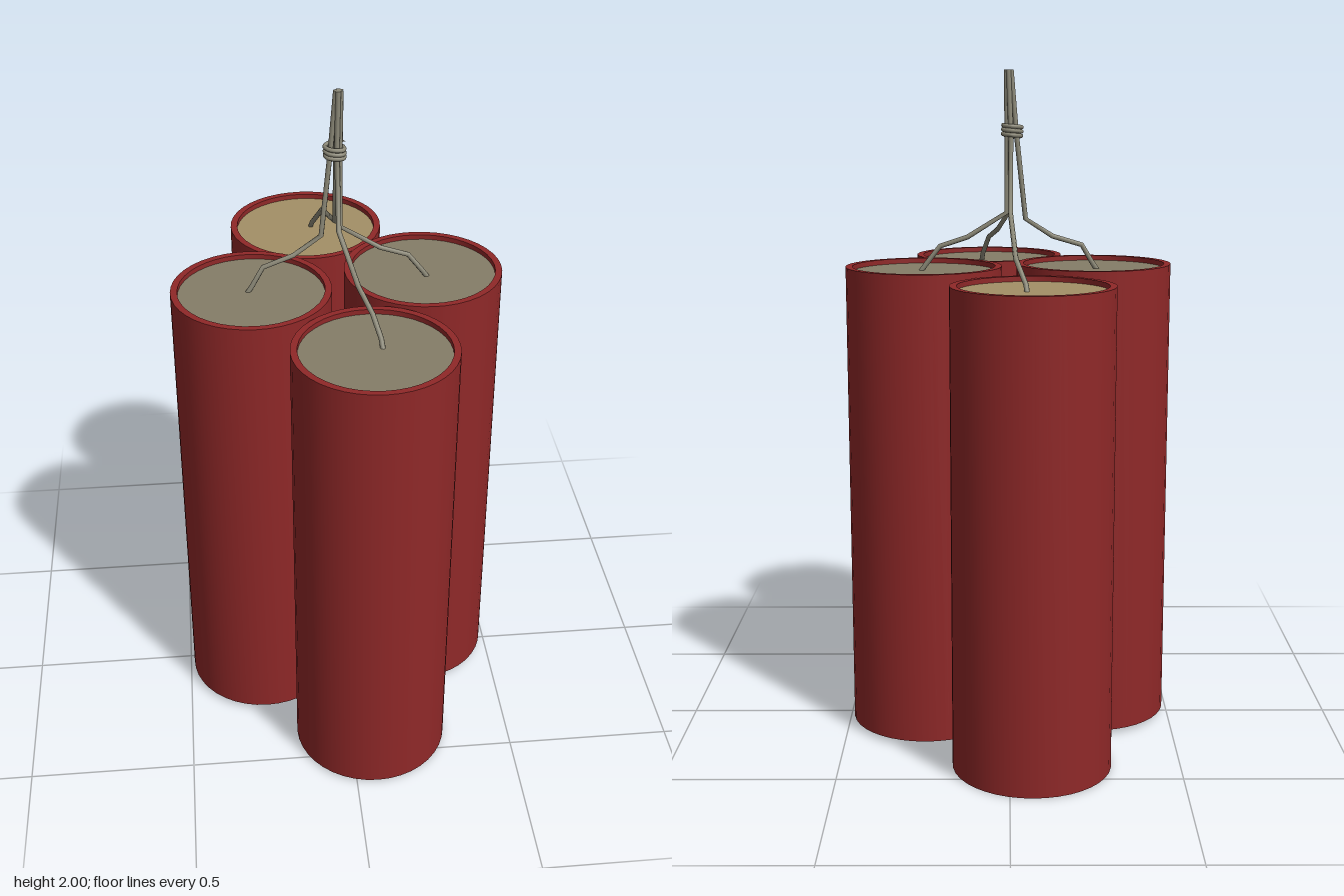
import * as THREE from 'three';
import { toCreasedNormals } from 'three/addons/utils/BufferGeometryUtils.js';

const mat = (color) => new THREE.MeshStandardMaterial({ color });
const RADIUS = 0.233, INNER = 0.213, HEIGHT = 1.413, RECESS = 0.015, SIDES = 40;

// Straight-segment path: one tube ring per bend, mitred at the corners
class BentPath extends THREE.Curve {
  constructor(points) {
    super();
    this.points = points.map((p) => new THREE.Vector3(...p));
  }
  getPoint(t, target = new THREE.Vector3()) {
    const n = this.points.length - 1;
    const i = Math.min(Math.floor(t * n), n - 1);
    return target.lerpVectors(this.points[i], this.points[i + 1], t * n - i);
  }
  getPointAt(u, target) { return this.getPoint(u, target); }
  getTangentAt(u, target) { return this.getTangent(u, target); }
}

function addMesh(parent, name, geometry, material) {
  const mesh = new THREE.Mesh(geometry, material);
  mesh.name = name;
  parent.add(mesh);
  return mesh;
}

export function createModel() {
  const model = new THREE.Group();
  model.name = 'stickBundle';

  const red = mat(0x8f2828);
  const greyFill = mat(0x857d68);
  const tanFill = mat(0xa39067);
  const wireMat = mat(0x8c8978);

  // Paper tube with recessed ends
  const shellGeo = toCreasedNormals(new THREE.LatheGeometry([
    [INNER, RECESS], [INNER, 0], [RADIUS, 0],
    [RADIUS, HEIGHT], [INNER, HEIGHT], [INNER, HEIGHT - RECESS],
  ].map(([x, y]) => new THREE.Vector2(x, y)), SIDES), 0.6);
  const discGeo = new THREE.CircleGeometry(INNER, SIDES);

  // Sticks: centre x, base y, centre z, fill, then the bends of the fuse wire
  const sticks = [
    { name: 'front', at: [0.065, 0.006, 0.388], fill: greyFill, wire: [
      [0.09, 1.39, 0.37], [0.085, 1.425, 0.348], [0.065, 1.482, 0.31], [0.036, 1.515, 0.21],
      [0.001, 1.585, 0.012], [-0.003, 1.82, -0.007], [0.001, 2, -0.006]] },
    { name: 'back', at: [-0.065, 0, -0.39], fill: tanFill, wire: [
      [-0.05, 1.38, -0.415], [-0.045, 1.415, -0.392], [-0.017, 1.482, -0.345], [-0.013, 1.512, -0.26],
      [-0.003, 1.585, -0.055], [-0.004, 1.82, -0.027], [0.003, 2, -0.019]] },
    { name: 'left', at: [0.255, 0.015, -0.04], fill: greyFill, wire: [
      [0.275, 1.395, -0.02], [0.252, 1.428, -0.02], [0.207, 1.485, -0.02], [0.125, 1.512, -0.02],
      [0.008, 1.585, -0.02], [0.007, 1.82, -0.018], [0.009, 2, -0.014]] },
    { name: 'right', at: [-0.255, 0.015, 0.04], fill: greyFill, wire: [
      [-0.275, 1.395, 0.028], [-0.252, 1.428, 0.025], [-0.218, 1.485, 0.018], [-0.13, 1.512, 0.006],
      [-0.048, 1.565, -0.008], [-0.02, 1.82, -0.017], [-0.005, 2, -0.012]] },
  ];

  for (const { name, at, fill, wire } of sticks) {
    const stick = new THREE.Group();
    stick.name = name + 'Stick';
    stick.position.set(...at);
    addMesh(stick, 'paperTube', shellGeo, red);
    const top = addMesh(stick, 'topFilling', discGeo, fill);
    top.rotation.x = -Math.PI / 2;
    top.position.y = HEIGHT - RECESS;
    const bottom = addMesh(stick, 'bottomPlug', discGeo, red);
    bottom.rotation.x = Math.PI / 2;
    bottom.position.y = RECESS;
    model.add(stick);

    // Fuse wire with a cut end at the top
    const fuse = new THREE.Group();
    fuse.name = name + 'Fuse';
    addMesh(fuse, 'wire', new THREE.TubeGeometry(new BentPath(wire), wire.length - 1, 0.0075, 8), wireMat);
    const end = addMesh(fuse, 'wireEnd', new THREE.CircleGeometry(0.0075, 8), wireMat);
    end.rotation.x = -Math.PI / 2;
    end.position.set(...wire[wire.length - 1]);
    model.add(fuse);
  }

  // Binding coil around the four wires
  const coil = [];
  const turns = 3, perTurn = 8;
  for (let i = 0; i <= turns * perTurn; i++) {
    const a = (i / perTurn) * Math.PI * 2;
    const r = 0.027 + 0.002 * Math.sin(i * 2.3);
    coil.push(new THREE.Vector3(
      -0.007 + r * Math.cos(a), 1.803 + 0.038 * i / (turns * perTurn), -0.018 + r * Math.sin(a)));
  }
  addMesh(model, 'bindingCoil',
    new THREE.TubeGeometry(new THREE.CatmullRomCurve3(coil), 72, 0.0065, 8), wireMat);

  return model;
}
